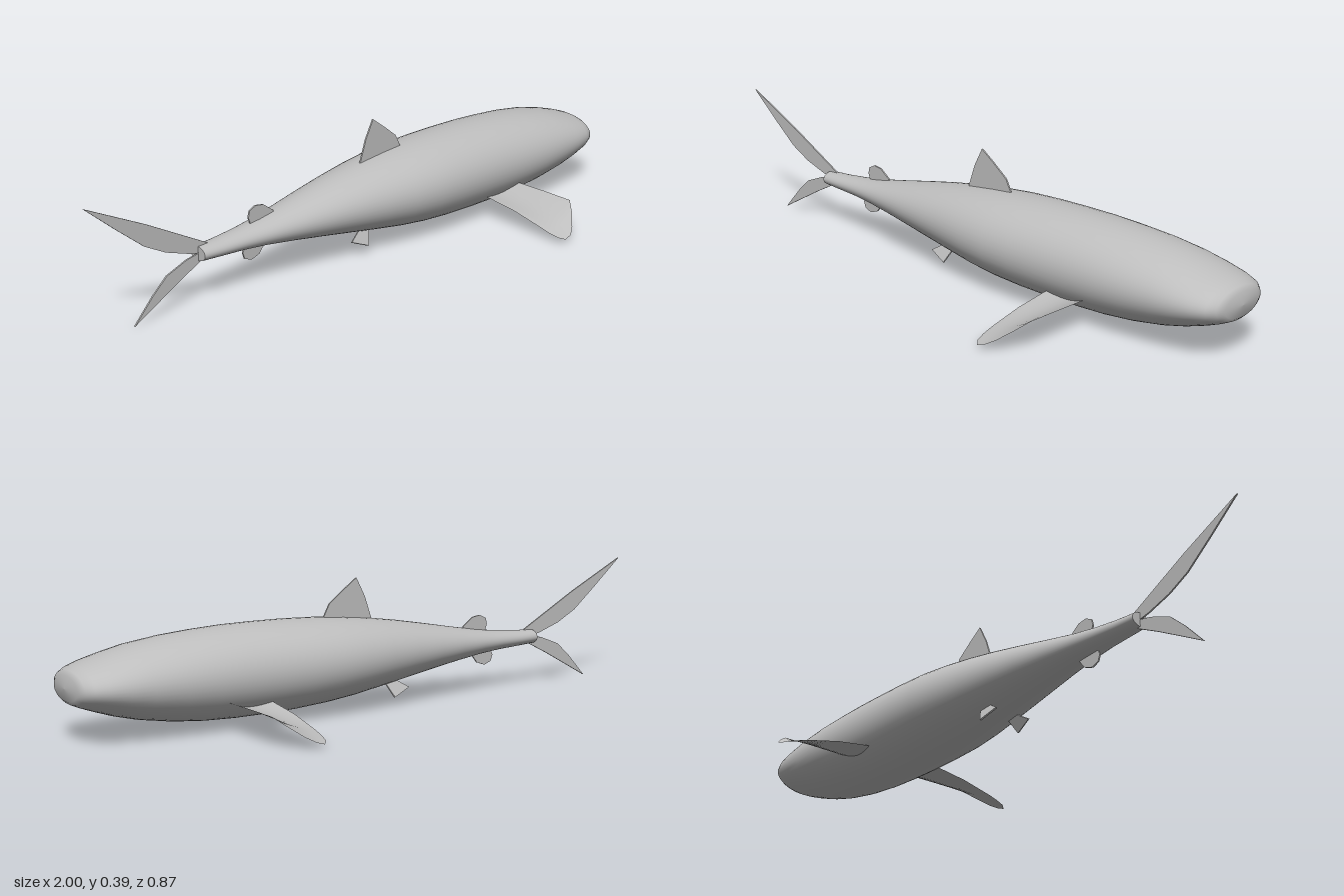
import * as THREE from 'three';

const skin = new THREE.MeshStandardMaterial({ color: 0xbebebe, side: THREE.DoubleSide });
skin.name = 'grey skin';

// Smooth surface from rows of points; rows may be closed into rings.
function loft(rows, closed) {
  const n = rows[0].length, index = [];
  for (let i = 0; i < rows.length - 1; i++) {
    for (let j = 0; j < (closed ? n : n - 1); j++) {
      const a = i * n + j, b = i * n + (j + 1) % n;
      index.push(a, b, a + n, b, b + n, a + n);
    }
  }
  const geometry = new THREE.BufferGeometry();
  geometry.setAttribute('position', new THREE.Float32BufferAttribute(rows.flat(2), 3));
  geometry.setIndex(index);
  geometry.computeVertexNormals();
  return geometry;
}

// Thin upright fin from an outline in the x-y plane.
function flatFin(name, points) {
  const shape = new THREE.Shape(points.map(([x, y]) => new THREE.Vector2(x, y)));
  const geometry = new THREE.ExtrudeGeometry(shape, { depth: 0.005, bevelEnabled: false });
  geometry.translate(0, 0, -0.0025);
  const mesh = new THREE.Mesh(geometry, skin);
  mesh.name = name;
  return mesh;
}

// Body stations: x, top, bottom, half width
const stations = [
  [-0.628, 0.16, 0.16, 0], [-0.628, 0.181, 0.138, 0.032], [-0.628, 0.181, 0.138, 0.032],
  [-0.56, 0.184, 0.134, 0.037], [-0.48, 0.191, 0.13, 0.045], [-0.4, 0.201, 0.123, 0.057],
  [-0.3, 0.219, 0.11, 0.076], [-0.2, 0.238, 0.095, 0.096], [-0.1, 0.256, 0.079, 0.115],
  [0, 0.271, 0.063, 0.133], [0.1, 0.282, 0.048, 0.15], [0.2, 0.29, 0.037, 0.161],
  [0.3, 0.294, 0.03, 0.163], [0.4, 0.295, 0.027, 0.163], [0.5, 0.294, 0.027, 0.163],
  [0.6, 0.289, 0.031, 0.163], [0.7, 0.281, 0.041, 0.162], [0.8, 0.267, 0.058, 0.156],
  [0.87, 0.251, 0.076, 0.149], [0.93, 0.234, 0.096, 0.138], [0.965, 0.222, 0.109, 0.122],
  [0.985, 0.212, 0.118, 0.1], [0.996, 0.2, 0.128, 0.075], [1, 0.163, 0.163, 0],
];

function buildBody() {
  const sides = 48;
  const rows = stations.map(([x, top, bottom, halfWidth]) =>
    Array.from({ length: sides }, (_, j) => {
      const a = j / sides * Math.PI * 2;
      return [x, (top + bottom) / 2 + (top - bottom) / 2 * Math.cos(a), halfWidth * Math.sin(a)];
    }));
  const mesh = new THREE.Mesh(loft(rows, true), skin);
  mesh.name = 'body';
  return mesh;
}

// Cupped pectoral fin: z, leading x/y, trailing x/y, sag
const pectoralSections = [
  [0.11, 0.575, 0.1, 0.43, 0.09, 0.016], [0.25, 0.573, 0.1, 0.43, 0.07, 0.012],
  [0.355, 0.57, 0.098, 0.43, 0.045, 0.008], [0.39, 0.54, 0.072, 0.431, 0.035, 0.005],
  [0.42, 0.505, 0.045, 0.437, 0.027, 0.002], [0.437, 0.478, 0.03, 0.452, 0.022, 0],
];

function buildPectoral(side) {
  const steps = 8;
  const rows = pectoralSections.map(([z, xl, yl, xt, yt, sag]) =>
    Array.from({ length: steps + 1 }, (_, k) => {
      const t = side > 0 ? k / steps : 1 - k / steps;
      const y = yl + (yt - yl) * t - sag * Math.sin(Math.PI * t);
      return [xl + (xt - xl) * t, y, z * side];
    }));
  const mesh = new THREE.Mesh(loft(rows, false), skin);
  mesh.name = side > 0 ? 'pectoralFinFront' : 'pectoralFinBack';
  return mesh;
}

export function createModel() {
  const model = new THREE.Group();
  model.name = 'shark';
  model.add(buildBody());

  // Tail lobes
  model.add(flatFin('upperTailLobe', [[-0.585, 0.178], [-0.8, 0.293], [-1, 0.39], [-0.9, 0.305],
    [-0.81, 0.232], [-0.74, 0.195], [-0.66, 0.168], [-0.6, 0.155]]));
  model.add(flatFin('lowerTailLobe', [[-0.6, 0.165], [-0.67, 0.152], [-0.74, 0.125], [-0.79, 0.08],
    [-0.855, 0.01], [-0.76, 0.062], [-0.69, 0.1], [-0.6, 0.145]]));

  // Fins along the back and under the tail
  model.add(flatFin('dorsalFin', [[0, 0.25], [0, 0.268], [0.025, 0.34], [0.055, 0.397],
    [0.1, 0.365], [0.152, 0.325], [0.172, 0.287], [0.172, 0.26]]));
  model.add(flatFin('secondDorsalFin', [[-0.43, 0.18], [-0.443, 0.215], [-0.438, 0.235],
    [-0.415, 0.246], [-0.385, 0.241], [-0.35, 0.215], [-0.34, 0.18]]));
  model.add(flatFin('analFin', [[-0.455, 0.14], [-0.467, 0.115], [-0.46, 0.095],
    [-0.435, 0.085], [-0.405, 0.095], [-0.385, 0.12], [-0.375, 0.14]]));

  // Paired fins
  for (const side of [1, -1]) {
    model.add(buildPectoral(side));
    const pelvic = flatFin(side > 0 ? 'pelvicFinFront' : 'pelvicFinBack',
      [[-0.05, 0], [-0.095, -0.03], [-0.035, -0.056], [-0.01, 0]]);
    pelvic.position.set(0, 0.086, 0.05 * side);
    pelvic.rotation.x = -0.45 * side;
    model.add(pelvic);
  }
  return model;
}
